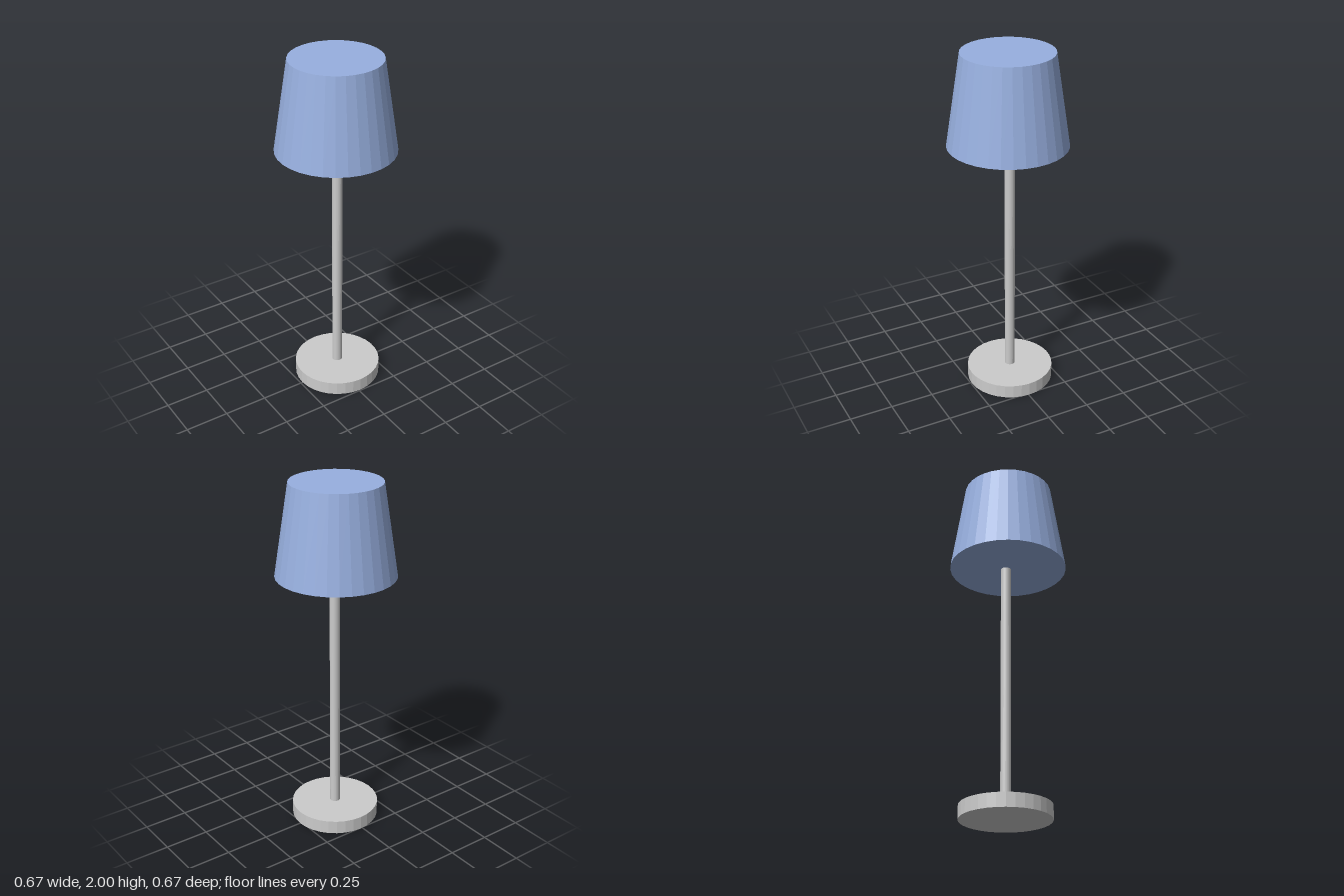
import * as THREE from 'three';

export function createModel() {
  const model = new THREE.Group();
  model.name = 'tableLamp';

  const grey = new THREE.MeshStandardMaterial({ color: 0xcccccc, flatShading: true });
  const blue = new THREE.MeshStandardMaterial({ color: 0x98b0e0, flatShading: true });

  // Closed 32-sided frustum standing between two heights
  function frustum(name, topRadius, bottomRadius, y0, y1, material, x = 0, z = 0) {
    const geometry = new THREE.CylinderGeometry(topRadius, bottomRadius, y1 - y0, 32);
    const mesh = new THREE.Mesh(geometry, material);
    mesh.name = name;
    mesh.position.set(x, (y0 + y1) / 2, z);
    model.add(mesh);
  }

  // Base and pole stand slightly off the shade's axis
  const offX = 0.012, offZ = -0.005;
  frustum('base', 0.25, 0.25, 0, 0.078, grey, offX, offZ);
  frustum('pole', 0.029, 0.029, 0.078, 1.49, grey, offX, offZ);

  // Solid tapered shade
  frustum('shade', 0.254, 0.334, 1.482, 2, blue);

  return model;
}
